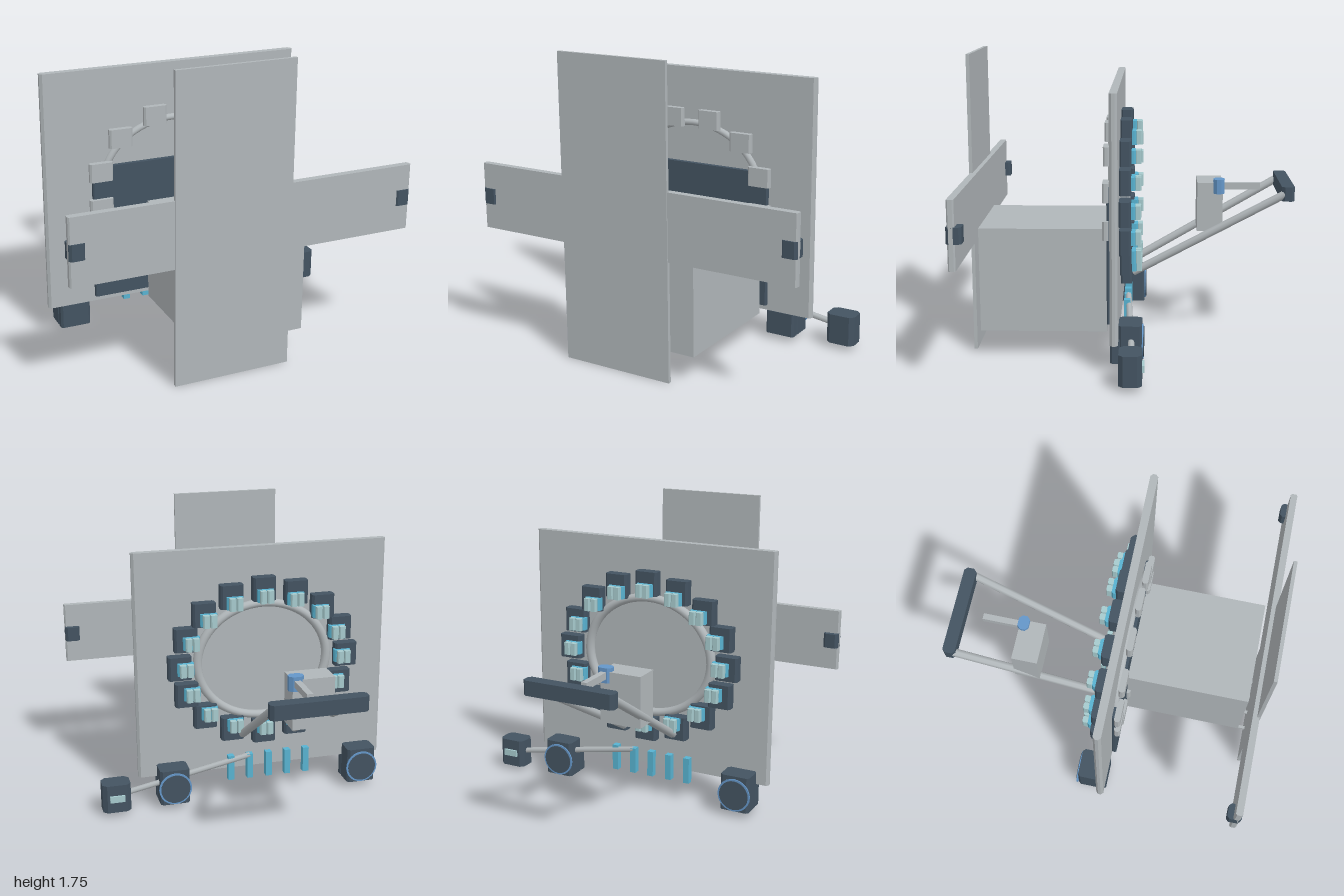
import * as THREE from 'three';

const mat = (name, color, flat = true) => {
  const m = new THREE.MeshStandardMaterial({ color });
  m.name = name;
  m.flatShading = flat;
  return m;
};

export function createModel() {
  const root = new THREE.Group();
  root.name = 'panelAssembly';
  const grey = mat('light grey', 0xb0b6b9, false);
  const dark = mat('dark slate', 0x435361);
  const cyan = mat('cyan', 0x58b2d0);
  const pale = mat('pale teal', 0xa6cacd);
  const blue = mat('blue', 0x6496c8);

  const add = (name, geo, m, x = 0, y = 0, z = 0, parent = root) => {
    const mesh = new THREE.Mesh(geo, m);
    mesh.name = name;
    mesh.position.set(x, y, z);
    parent.add(mesh);
    return mesh;
  };

  // Box from min/max ranges; c chamfers the four edges running along the axis
  const block = (name, m, [x0, x1], [y0, y1], [z0, z1], c = 0, axis = 'y', parent = root) => {
    const s = [x1 - x0, y1 - y0, z1 - z0];
    let geo;
    if (!c) geo = new THREE.BoxGeometry(...s);
    else {
      const [w, h, d] = axis === 'y' ? [s[0], s[2], s[1]] : axis === 'x' ? [s[2], s[1], s[0]] : s;
      const a = w / 2, b = h / 2;
      const pts = [[-a + c, -b], [a - c, -b], [a, -b + c], [a, b - c], [a - c, b], [-a + c, b], [-a, b - c], [-a, -b + c]];
      const shape = new THREE.Shape(pts.map(p => new THREE.Vector2(...p)));
      geo = new THREE.ExtrudeGeometry(shape, { depth: d, bevelEnabled: false });
      geo.translate(0, 0, -d / 2);
      if (axis === 'y') geo.rotateX(-Math.PI / 2);
      if (axis === 'x') geo.rotateY(Math.PI / 2);
    }
    return add(name, geo, m, (x0 + x1) / 2, (y0 + y1) / 2, (z0 + z1) / 2, parent);
  };

  // Octagonal bar between two points
  const bar = (name, m, from, to, r) => {
    const a = new THREE.Vector3(...from), b = new THREE.Vector3(...to);
    const dir = b.clone().sub(a);
    const mesh = add(name, new THREE.CylinderGeometry(r, r, dir.length(), 8), m);
    mesh.position.copy(a).add(b).multiplyScalar(0.5);
    mesh.quaternion.setFromUnitVectors(new THREE.Vector3(0, 1, 0), dir.normalize());
  };

  const cx = -0.09, cy = 0.875;

  // Front cross of two panels with end clips
  block('tallFrontPanel', grey, [-0.43, 0.25], [0, 1.745], [0.922, 0.942]);
  block('crossPanel', grey, [-1, 1], [0.685, 1.065], [0.897, 0.937], 0.008);
  for (const s of [-1, 1]) {
    const a = 0.91 * s, b = s;
    block('endClip', dark, [Math.min(a, b), Math.max(a, b)], [0.83, 0.92], [0.862, 0.945], 0.014);
  }

  // Central housing and the pins joining it to the front panel
  block('housing', grey, [-0.26, 0.37], [0.155, 0.765], [0.145, 0.88]);
  for (let i = 0; i < 4; i++) {
    const x = -0.25 + i * 0.105;
    block('housingPin', grey, [x - 0.009, x + 0.009], [0.152, 0.172], [0.82, 0.925]);
  }

  // Main back panel and dark plate on its front
  block('mainPanel', grey, [-0.87, 0.69], [0.175, 1.575], [0.072, 0.117], 0.014);
  block('darkPlate', dark, [-0.59, 0.41], [0.21, 1.01], [0.115, 0.145], 0.006);

  // Oval rings on both faces of the main panel
  const ring = (name, rx, ry, z, r) => {
    const mesh = add(name, new THREE.TorusGeometry(1, r / rx, 12, 64), grey, cx, cy, z);
    mesh.scale.set(rx, ry, rx);
  };
  ring('backRing', 0.405, 0.355, 0.06, 0.028);
  ring('frontRing', 0.44, 0.375, 0.118, 0.022);

  // Tiles around the front ring
  for (let i = 0; i < 12; i++) {
    const t = (i + 0.5) * Math.PI / 6;
    const x = cx + 0.47 * Math.cos(t), y = cy + 0.42 * Math.sin(t);
    block('frontTile', grey, [x - 0.07, x + 0.07], [y - 0.055, y + 0.055], [0.132, 0.168], 0.01);
  }

  // Sixteen blocks with connectors around the back ring
  for (let i = 0; i < 16; i++) {
    const t = i * Math.PI / 8, c = Math.cos(t), s = Math.sin(t);
    const unit = new THREE.Group();
    unit.name = 'ringUnit';
    root.add(unit);
    const x = cx + 0.52 * c, y = cy + 0.45 * s;
    block('ringBlock', dark, [x - 0.07, x + 0.07], [y - 0.072, y + 0.072], [0.005, 0.074], 0.012, 'y', unit);
    const u = cx + 0.49 * c, v = cy + 0.415 * s;
    block('connectorBase', cyan, [u - 0.05, u + 0.05], [v - 0.038, v + 0.038], [-0.02, 0.03], 0.01, 'y', unit);
    for (const k of [-1, 1]) {
      const p = u + k * 0.022;
      block('connectorTip', pale, [p - 0.019, p + 0.019], [v - 0.038, v + 0.038], [-0.052, -0.018], 0.006, 'y', unit);
    }
  }

  // Feet with a blue-rimmed disc on the back
  for (const x of [-0.71, 0.49]) {
    block('foot', dark, [x - 0.09, x + 0.09], [0.035, 0.255], [-0.06, 0.072], 0.015);
    block('footToe', dark, [x - 0.09, x + 0.09], [0.035, 0.175], [0.06, 0.12], 0.012);
    const disc = (name, m, r, d, z) =>
      add(name, new THREE.CylinderGeometry(r, r, d, 24).rotateX(Math.PI / 2), m, x, 0.138, z);
    disc('footRim', blue, 0.101, 0.008, -0.063);
    disc('footCap', dark, 0.09, 0.006, -0.068);
  }

  // Side box on its rod
  block('sideBox', dark, [0.76, 0.93], [0.03, 0.205], [-0.065, 0.062], 0.025);
  block('sideBoxPlate', pale, [0.8, 0.89], [0.1, 0.14], [-0.078, -0.06]);
  bar('sideRod', grey, [0.8, 0.125, -0.01], [0, 0.265, 0.03], 0.018);

  // Row of cyan prongs under the ring
  for (let i = 0; i < 5; i++) {
    const x = 0.12 - i * 0.121;
    block('prong', cyan, [x - 0.019, x + 0.019], [0.115, 0.275], [0.015, 0.055]);
  }

  // Rear handle
  bar('handleArm', grey, [-0.28, 0.425, 0], [-0.365, 0.925, -0.89], 0.025);
  bar('handleArm', grey, [0.05, 0.425, 0], [0.135, 0.925, -0.89], 0.025);
  block('handleGrip', dark, [-0.39, 0.16], [0.885, 0.97], [-0.945, -0.87], 0.018);

  // Box carried between the arms, with joint and spout
  block('carriedBox', grey, [-0.34, -0.09], [0.645, 0.945], [-0.54, -0.385]);
  block('joint', blue, [-0.157, -0.07], [0.88, 0.967], [-0.55, -0.483], 0.02);
  block('spout', grey, [-0.133, -0.097], [0.905, 0.945], [-0.765, -0.53]);

  return root;
}
